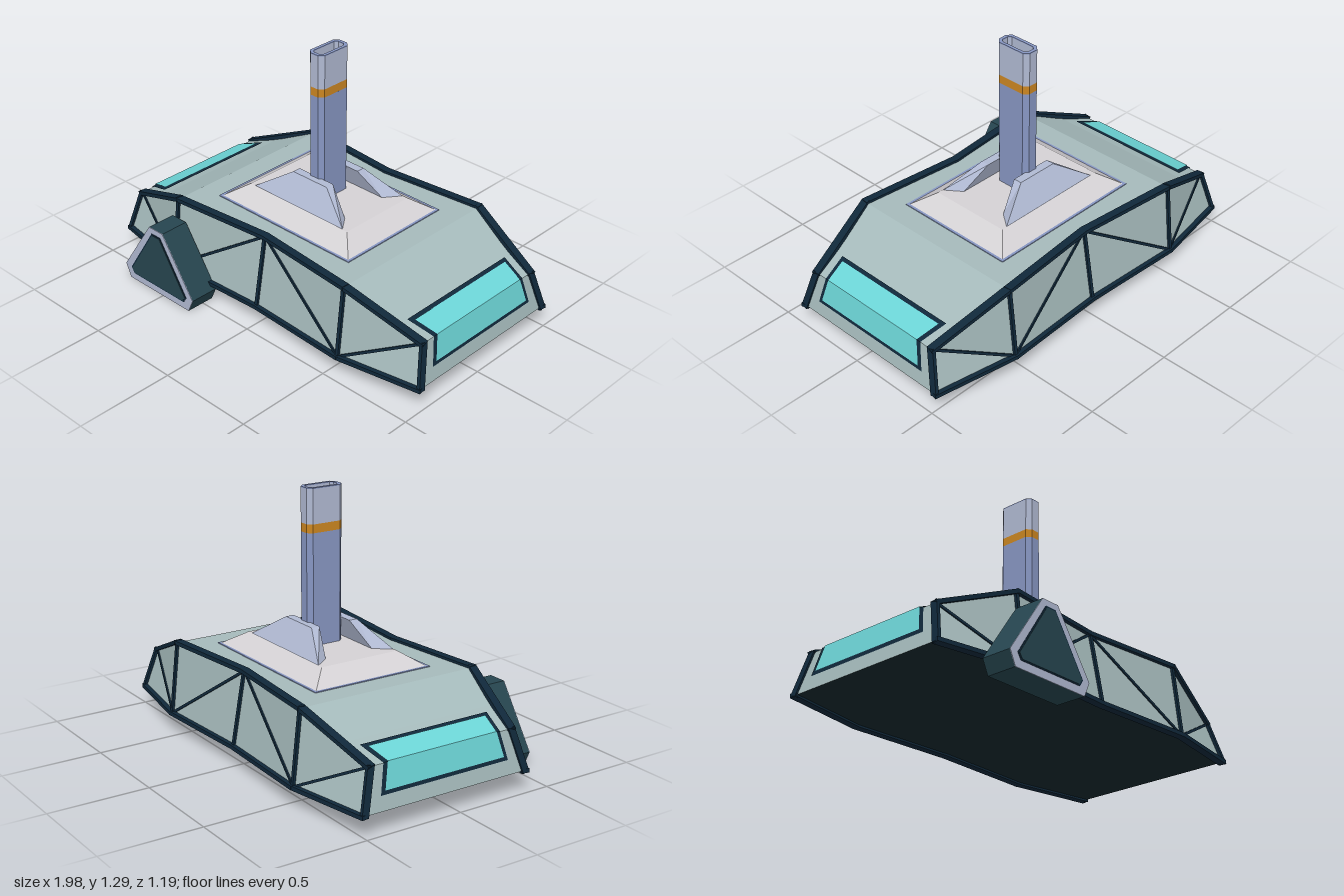
import * as THREE from 'three';

const mat = (name, color, side = THREE.FrontSide) => {
  const m = new THREE.MeshStandardMaterial({ color, side, flatShading: true });
  m.name = name;
  return m;
};
const V = (x, y, z) => new THREE.Vector3(x, y, z);

// Flat-faced mesh from convex polygons, corners counter-clockwise from outside
function faces(name, polys, material) {
  const pos = [];
  for (const p of polys)
    for (let i = 1; i < p.length - 1; i++)
      for (const v of [p[0], p[i], p[i + 1]]) pos.push(v.x, v.y, v.z);
  const g = new THREE.BufferGeometry();
  g.setAttribute('position', new THREE.Float32BufferAttribute(pos, 3));
  g.computeVertexNormals();
  const m = new THREE.Mesh(g, material);
  m.name = name;
  return m;
}

// Solid between two matching loops, counter-clockwise seen from above
function loft(name, low, high, material) {
  const polys = [high, [...low].reverse()];
  low.forEach((v, i) => {
    const j = (i + 1) % low.length;
    polys.push([v, low[j], high[j], high[i]]);
  });
  return faces(name, polys, material);
}

const rect = (hx, y, hz) => [V(-hx, y, hz), V(hx, y, hz), V(hx, y, -hz), V(-hx, y, -hz)];

// Bar from a to b: w across the side panel, d through it
function beam(a, b, w, d, material) {
  const dir = b.clone().sub(a);
  const len = dir.length();
  dir.normalize();
  const up = V(0, 0, 1).cross(dir).normalize();
  const out = dir.clone().cross(up);
  const m = new THREE.Mesh(new THREE.BoxGeometry(len + w * 0.8, w, d), material);
  m.quaternion.setFromRotationMatrix(new THREE.Matrix4().makeBasis(dir, up, out));
  m.position.copy(a).add(b).multiplyScalar(0.5);
  m.name = 'trussBeam';
  return m;
}

// Rectangle with cut corners
function chamfered(hx, hy, c, Type = THREE.Shape) {
  const pts = [[hx, c - hy], [hx, hy - c], [hx - c, hy], [c - hx, hy],
    [-hx, hy - c], [-hx, c - hy], [c - hx, -hy], [hx - c, -hy]];
  return new Type(pts.map(p => new THREE.Vector2(...p)));
}

export function createModel() {
  const body = mat('hull grey green', 0xa5babb);
  const frame = mat('frame navy', 0x10283a, THREE.DoubleSide);
  const glass = mat('window cyan', 0x6cd4d6, THREE.DoubleSide);
  const stone = mat('plinth light grey', 0xd4d1d4);
  const blue = mat('mast blue', 0x8796c2);
  const pale = mat('pale lavender', 0xb0b9d2);
  const orange = mat('band orange', 0xcb8621);
  const teal = mat('pod dark teal', 0x26454f);
  const under = mat('underside dark', 0x16282d);

  const root = new THREE.Group();
  root.name = 'vessel';
  const hull = new THREE.Group();
  hull.name = 'hull';
  hull.position.z = -0.06;
  root.add(hull);

  // Side chords: [x, y, half depth]
  const lowRow = [[-0.98, 0.1, 0.44], [-0.55, 0.1, 0.515], [0, 0.1, 0.49], [0.55, 0.1, 0.515], [0.98, 0.1, 0.44]];
  const topRow = [[-0.94, 0.3, 0.385], [-0.55, 0.46, 0.475], [0, 0.46, 0.425], [0.55, 0.46, 0.475], [0.94, 0.3, 0.385]];

  // Side panels and truss, mirrored front to back
  for (const s of [1, -1]) {
    const b = lowRow.map(([x, y, z]) => V(x, y, z * s));
    const t = topRow.map(([x, y, z]) => V(x, y, z * s));
    const tris = [];
    const truss = new THREE.Group();
    truss.name = s > 0 ? 'frontTruss' : 'backTruss';
    const bar = (p, q, w, d) => truss.add(beam(p, q, w, d, frame));
    for (let i = 0; i < 4; i++) {
      const j = i + 1;
      if (i % 2 === 0) tris.push([t[i], b[i], b[j]], [t[i], b[j], t[j]]);
      else tris.push([b[i], b[j], t[j]], [b[i], t[j], t[i]]);
      bar(b[i], b[j], 0.02, 0.04);
      bar(t[i], t[j], 0.02, 0.04);
      if (i % 2 === 0) bar(t[i], b[j], 0.013, 0.014);
      else bar(b[i], t[j], 0.013, 0.014);
    }
    b.forEach((p, i) => bar(p, t[i], 0.018, i % 4 === 0 ? 0.035 : 0.022));
    if (s < 0) tris.forEach(p => p.reverse());
    hull.add(faces('sidePanels', tris, body), truss);
  }

  // Deck and sloping ends, in strips across the hull
  const half = [[0, 0.458, 0.425], [0.55, 0.458, 0.475], [0.77, 0.357, 0.425], [0.94, 0.3, 0.385], [0.98, 0.1, 0.44]];
  const st = [...half.slice(1).reverse().map(([x, y, z]) => [-x, y, z]), ...half];
  const strips = [];
  for (let i = 0; i < st.length - 1; i++) {
    const [x0, y0, z0] = st[i], [x1, y1, z1] = st[i + 1];
    strips.push([V(x0, y0, z0), V(x1, y1, z1), V(x1, y1, -z1), V(x0, y0, -z0)]);
  }
  hull.add(faces('deck', strips, body));

  // Underside
  const bottoms = [];
  for (let i = 0; i < 4; i++) {
    const [x0, y, z0] = lowRow[i], [x1, , z1] = lowRow[i + 1];
    bottoms.push([V(x0, y, -z0), V(x1, y, -z1), V(x1, y, z1), V(x0, y, z0)]);
  }
  hull.add(faces('underside', bottoms, under));

  // End windows, folded over the end crease: [x, y, half width]
  const pane = (name, sec, s, o, m) => {
    const p = sec.map(([x, y, w]) => [V(s * (x + o * 0.7), y + o, w), V(s * (x + o * 0.7), y + o, -w)]);
    hull.add(faces(name, [0, 1].map(i => [p[i][0], p[i + 1][0], p[i + 1][1], p[i][1]]), m));
  };
  for (const s of [1, -1]) {
    pane('windowFrame', [[0.81, 0.344, 0.348], [0.94, 0.3, 0.318], [0.967, 0.165, 0.348]], s, 0.004, frame);
    pane('window', [[0.83, 0.337, 0.322], [0.94, 0.3, 0.297], [0.964, 0.18, 0.325]], s, 0.008, glass);
  }

  // Plinth with its thin border
  hull.add(loft('plinthBorder', rect(0.43, 0.455, 0.32), rect(0.43, 0.462, 0.32), blue));
  hull.add(loft('plinth', rect(0.42, 0.46, 0.31), rect(0.32, 0.527, 0.212), stone));

  // Leaning braces in front of and behind the mast
  for (const turn of [0, Math.PI]) {
    const low = [V(-0.29, 0.527, 0.21), V(0.29, 0.527, 0.21), V(0.23, 0.527, 0.13), V(-0.23, 0.527, 0.13)];
    const high = [V(-0.11, 0.643, 0.128), V(0.11, 0.643, 0.128), V(0.11, 0.643, 0.085), V(-0.11, 0.643, 0.085)];
    const brace = loft('mastBrace', low, high, pale);
    brace.rotation.y = turn;
    hull.add(brace);
  }

  // Hollow mast in stacked sections
  const tube = (name, y0, y1, m) => {
    const shape = chamfered(0.046, 0.097, 0.022);
    shape.holes.push(chamfered(0.03, 0.08, 0.014, THREE.Path));
    const g = new THREE.ExtrudeGeometry(shape, { depth: y1 - y0, bevelEnabled: false });
    g.rotateX(-Math.PI / 2);
    const mesh = new THREE.Mesh(g, m);
    mesh.position.y = y0;
    mesh.name = name;
    hull.add(mesh);
  };
  tube('mastLower', 0.52, 1.073, blue);
  tube('mastBand', 1.073, 1.115, orange);
  tube('mastUpper', 1.115, 1.281, pale);
  tube('mastRim', 1.281, 1.286, blue);

  // Side pod: cut-corner triangular prism with a framed face
  const pod = new THREE.Group();
  pod.name = 'sidePod';
  pod.position.x = -0.527;
  const slab = (name, pts, z, depth, m) => {
    const ring = [...pts, ...pts.map(([x, y]) => [-x, y]).reverse()];
    const shape = new THREE.Shape(ring.map(p => new THREE.Vector2(...p)));
    const mesh = new THREE.Mesh(new THREE.ExtrudeGeometry(shape, { depth, bevelEnabled: false }), m);
    mesh.position.z = z;
    mesh.name = name;
    pod.add(mesh);
  };
  const outer = [[0.215, 0], [0.247, 0.07], [0.048, 0.365]];
  slab('podBody', outer, 0.44, 0.15, teal);
  slab('podRim', outer, 0.59, 0.003, pale);
  slab('podFaceEdge', [[0.183, 0.037], [0.203, 0.068], [0.03, 0.335]], 0.593, 0.002, frame);
  slab('podFace', [[0.177, 0.043], [0.194, 0.068], [0.026, 0.328]], 0.595, 0.002, teal);
  root.add(pod);

  return root;
}
